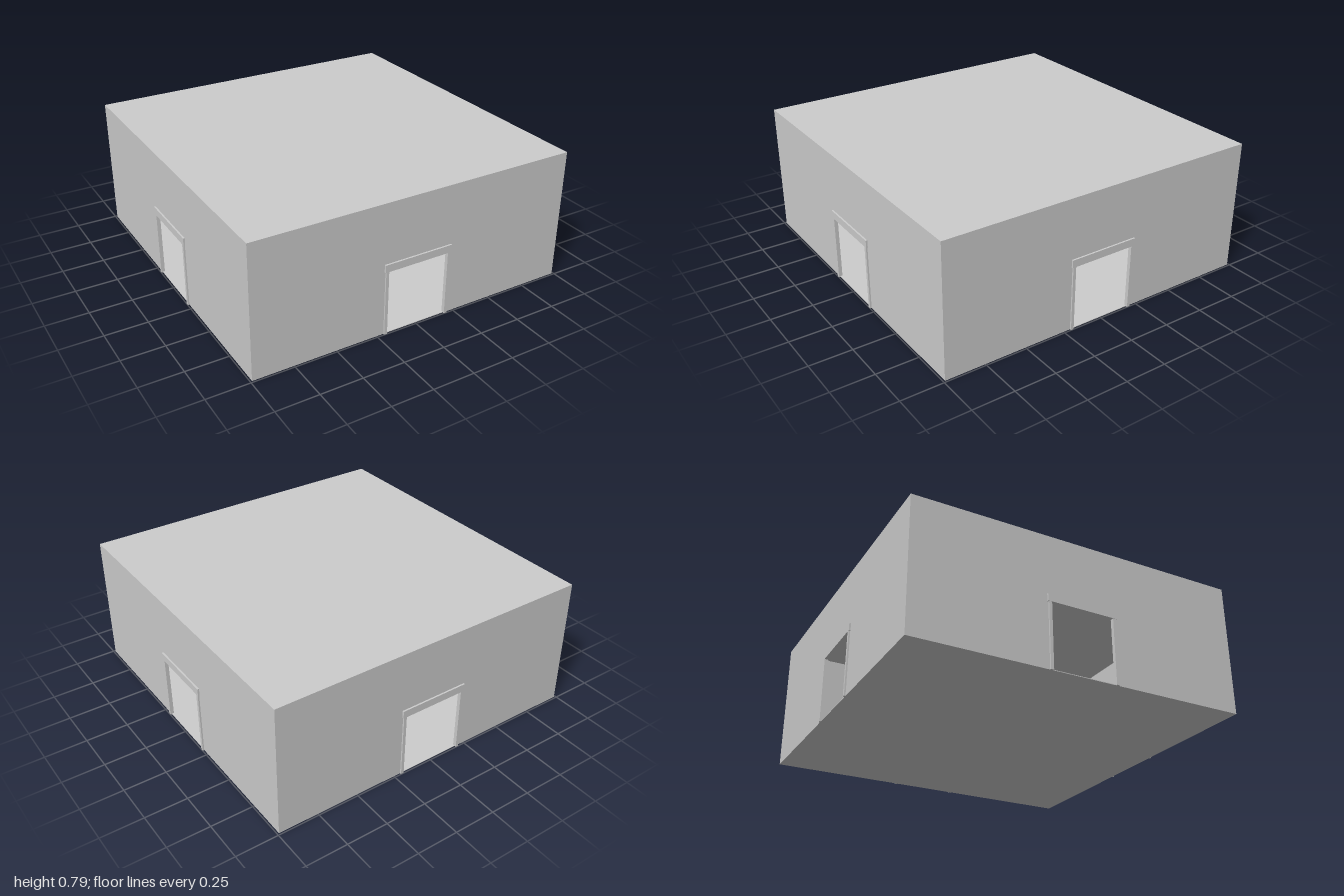
import * as THREE from 'three';

const HALF = 0.99;      // half the width of the building
const HEIGHT = 0.79;
const WALL = 0.01;      // wall and roof thickness
const FLOOR = 0.004;
const DOOR = 0.19;      // half the width of a doorway
const DOOR_TOP = 0.39;

const material = new THREE.MeshStandardMaterial({ color: 0xcccccc, flatShading: true });

function box(name, w, h, d, x, y, z) {
  const mesh = new THREE.Mesh(new THREE.BoxGeometry(w, h, d), material);
  mesh.name = name;
  mesh.position.set(x, y, z);
  return mesh;
}

// Wall outline with the doorway cut out of its lower edge; one end stops
// short so that four turned copies meet at the corners without overlap
function wallGeometry() {
  const top = HEIGHT - WALL;
  const end = HALF - WALL;
  const shape = new THREE.Shape([
    [-HALF, FLOOR], [-DOOR, FLOOR], [-DOOR, DOOR_TOP], [DOOR, DOOR_TOP],
    [DOOR, FLOOR], [end, FLOOR], [end, top], [-HALF, top],
  ].map(([x, y]) => new THREE.Vector2(x, y)));
  return new THREE.ExtrudeGeometry(shape, { depth: WALL, bevelEnabled: false })
    .translate(0, 0, HALF - WALL);
}

// Two jambs and a slightly wider lintel, standing proud of the wall
function doorFrame() {
  const frame = new THREE.Group();
  frame.name = 'doorFrame';
  for (const side of [-1, 1]) {
    frame.add(box('doorJamb', 0.018, DOOR_TOP, 0.022, side * 0.198, DOOR_TOP / 2, 0.988));
  }
  frame.add(box('doorLintel', 0.424, 0.045, 0.024, 0, DOOR_TOP + 0.02, 0.988));
  return frame;
}

export function createModel() {
  const model = new THREE.Group();
  model.name = 'building';

  model.add(box('floor', 2 * HALF, FLOOR, 2 * HALF, 0, FLOOR / 2, 0));
  model.add(box('roof', 2 * HALF, WALL, 2 * HALF, 0, HEIGHT - WALL / 2, 0));

  // The same wall and door frame on all four sides
  const geometry = wallGeometry();
  for (let i = 0; i < 4; i++) {
    const side = new THREE.Group();
    side.name = ['frontSide', 'leftSide', 'backSide', 'rightSide'][i];
    side.rotation.y = i * Math.PI / 2;
    const wall = new THREE.Mesh(geometry, material);
    wall.name = 'wall';
    side.add(wall, doorFrame());
    model.add(side);
  }
  return model;
}
